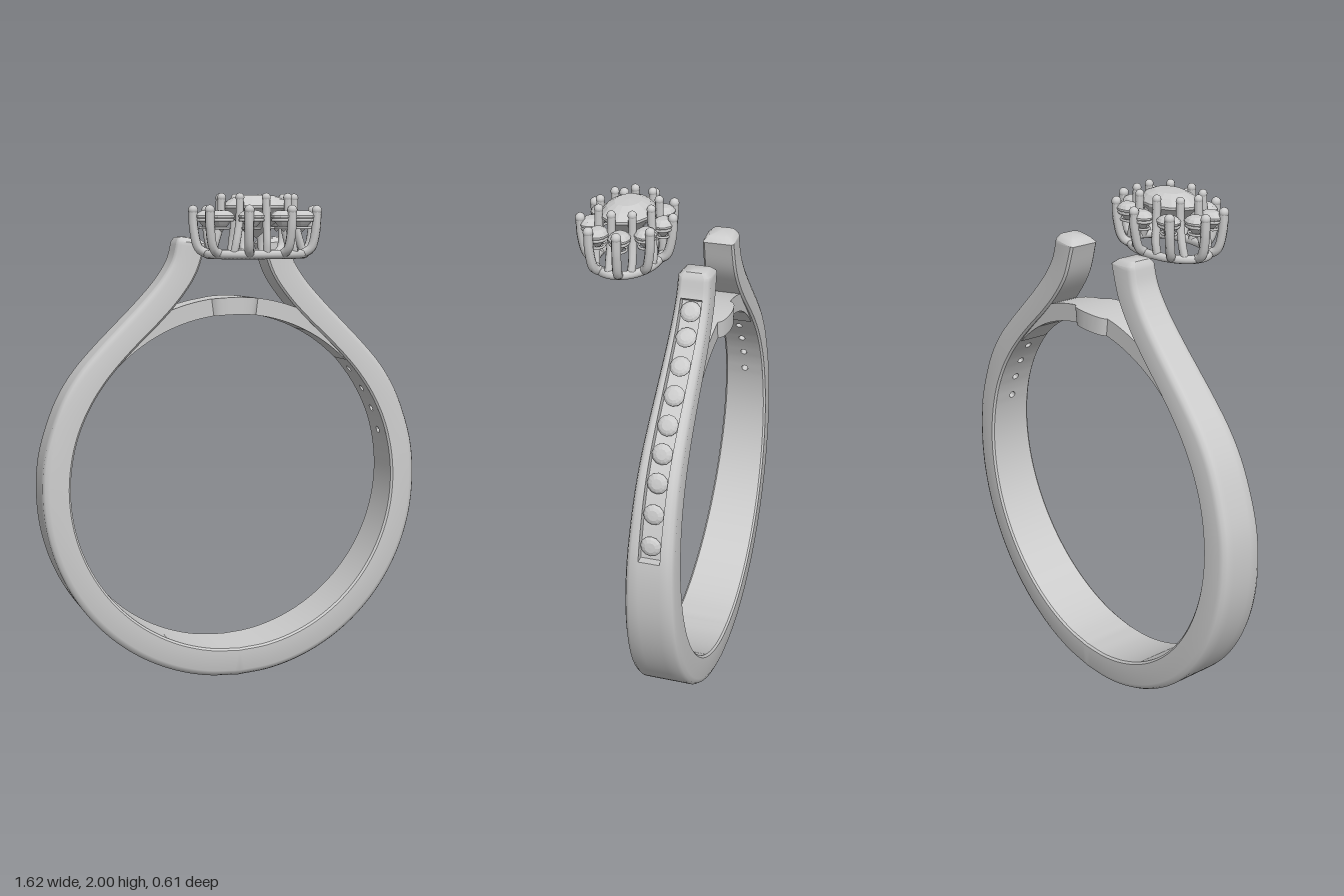
import * as THREE from 'three';
import { toCreasedNormals } from 'three/addons/utils/BufferGeometryUtils.js';

const material = new THREE.MeshStandardMaterial({ color: 0xcccccc });
const facetMaterial = new THREE.MeshStandardMaterial({ color: 0xcccccc, flatShading: true });
const BAND_Z = -0.19, STEPS = 6, CHANNEL = [10, 18];
const halfWidth = y => 0.12 - 0.06 * y / 1.83;

// Outer and inner outline of one half of the band, from the bottom to the shoulder tip
const outerPts = [], innerPts = [];
for (let i = 0; i <= 9; i++) {
  const a = (i * 10 - 90) * Math.PI / 180;
  outerPts.push([0.81 * Math.cos(a), 0.81 + 0.81 * Math.sin(a)]);
  innerPts.push([0.7 * Math.cos(a), 0.82 + 0.7 * Math.sin(a)]);
}
outerPts.push([0.80, 0.95], [0.765, 1.08], [0.715, 1.20], [0.65, 1.30], [0.57, 1.39],
  [0.48, 1.48], [0.39, 1.57], [0.31, 1.66], [0.26, 1.74], [0.24, 1.815]);
innerPts.push([0.689, 0.942], [0.658, 1.06], [0.606, 1.17], [0.545, 1.26], [0.48, 1.335],
  [0.40, 1.415], [0.32, 1.49], [0.235, 1.58], [0.165, 1.68], [0.12, 1.805]);
const spline = pts => new THREE.CatmullRomCurve3(pts.map(p => new THREE.Vector3(p[0], p[1], 0)));
const outer = spline(outerPts), inner = spline(innerPts), LAST = outerPts.length - 1;

function station(i) {
  const o = outer.getPoint(i / LAST), p = inner.getPoint(i / LAST);
  const n = p.clone().sub(o), th = n.length();
  return { o, p, n: n.normalize(), th, w: halfWidth((o.y + p.y) / 2) };
}

// Rounded cross-section, with an optional channel of depth d in the outer face
function section(i, d) {
  const { o, n, th, w } = station(i), c = 0.04;
  return [[0.025, -w], [0.008, 0.007 - w], [0, 0.02 - w], [0, -c], [d, -c], [d, c], [0, c], [0, w - 0.02],
    [0.008, w - 0.007], [0.025, w], [th - 0.008, w], [th, w - 0.008], [th, 0.008 - w], [th - 0.008, -w]]
    .map(([k, z]) => o.clone().addScaledVector(n, k).setZ(z));
}

function buildBand() {
  const pos = [];
  const holes = [62, 67, 72, 78, 83]; // first station of each two-step hole cell
  for (const side of [1, -1]) {
    const tri = (a, b, c) => {
      const area = b.clone().sub(a).cross(c.clone().sub(a)).length();
      if (area < 1e-9) return;
      for (const v of side > 0 ? [a, b, c] : [a, c, b]) pos.push(v.x * side, v.y, v.z);
    };
    const strip = (A, B, skipInner) => A.forEach((a, k) => {
      const m = (k + 1) % A.length;
      if (skipInner && k === 11) return;
      tri(a, B[k], A[m]);
      tri(B[k], B[m], A[m]);
    });
    const depth = (i, j) => side > 0 && Math.min(i, j) >= CHANNEL[0] && Math.max(i, j) <= CHANNEL[1] ? 0.035 : 0;
    for (let s = 0; s < LAST * STEPS; s++) {
      const i = s / STEPS, j = (s + 1) / STEPS, d = depth(i, j);
      strip(section(i, d), section(j, d), holes.includes(s) || holes.includes(s - 1));
    }
    // Channel end walls
    if (side > 0) {
      strip(section(CHANNEL[0], 0), section(CHANNEL[0], 0.035), true);
      strip(section(CHANNEL[1], 0.035), section(CHANNEL[1], 0), true);
    }
    // Bevelled shoulder tip
    const end = section(LAST, 0);
    const mid = end.reduce((m, v) => m.add(v), new THREE.Vector3()).divideScalar(end.length);
    const bevel = end.map(v => v.clone().lerp(mid, 0.28).add(new THREE.Vector3(0, 0.017, 0)));
    strip(end, bevel);
    mid.y += 0.022;
    bevel.forEach((v, k) => tri(v, mid, bevel[(k + 1) % bevel.length]));
    // Drilled holes in the inner wall
    for (const s of holes) {
      const A = station(s / STEPS), B = station((s + 2) / STEPS);
      const at = (q, k) => A.p.clone().lerp(B.p, q.x).addScaledVector(A.n, -k)
        .setZ(q.y * (A.w + (B.w - A.w) * q.x - 0.008));
      const shape = new THREE.Shape([[0, -1], [1, -1], [1, 1], [0, 1]].map(p => new THREE.Vector2(...p)));
      const hole = new THREE.Path();
      hole.absellipse(0.5, 0, 0.015 / A.p.distanceTo(B.p), 0.015 / A.w, 0, Math.PI * 2);
      shape.holes.push(hole);
      const flat = new THREE.ShapeGeometry(shape, 16).toNonIndexed().attributes.position;
      const v = k => at(new THREE.Vector2(flat.getX(k), flat.getY(k)), 0);
      for (let k = 0; k < flat.count; k += 3) tri(v(k), v(k + 2), v(k + 1));
      const ring = hole.getPoints(16);
      for (let k = 0; k < ring.length - 1; k++) {
        const [p, q] = [ring[k], ring[k + 1]];
        tri(at(p, 0), at(p, 0.05), at(q, 0));
        tri(at(p, 0.05), at(q, 0.05), at(q, 0));
      }
    }
  }
  const geo = new THREE.BufferGeometry();
  geo.setAttribute('position', new THREE.Float32BufferAttribute(pos, 3));
  return toCreasedNormals(geo, 0.75);
}

// Bridge under the head, widened to a disc in the middle
function buildBridge() {
  const geo = new THREE.BoxGeometry(2, 1, 2, 120, 1, 1), p = geo.attributes.position;
  for (let i = 0; i < p.count; i++) {
    const a = p.getX(i) * 0.78, r = 0.735 + p.getY(i) * 0.07, x = Math.sin(a) * 0.735;
    const w = 0.06 + 0.032 * Math.sqrt(Math.max(0, 1 - (x / 0.092) ** 2));
    p.setXYZ(i, Math.sin(a) * r, 0.82 + Math.cos(a) * r, p.getZ(i) * w);
  }
  return toCreasedNormals(geo, 0.6);
}

const profile = pts => pts.map(p => new THREE.Vector2(...p));
// Faceted gem of unit radius, girdle at y = 0
const gemGeometry = sides => new THREE.LatheGeometry(
  profile([[0, -1], [0.55, -0.5], [1, -0.04], [1, 0.04], [0.78, 0.24], [0.5, 0.36], [0, 0.38]]), sides);

export function createModel() {
  const model = new THREE.Group();
  const add = (parent, name, geo, mat = material) => {
    const mesh = new THREE.Mesh(geo, mat);
    mesh.name = name;
    parent.add(mesh);
    return mesh;
  };

  const ring = new THREE.Group();
  ring.name = 'ring';
  ring.position.z = BAND_Z;
  model.add(ring);
  add(ring, 'band', buildBand());
  add(ring, 'bridge', buildBridge());

  // Nine stones in the channel of the left shoulder
  const up = new THREE.Vector3(0, 1, 0), smallGem = gemGeometry(12);
  for (let k = 0; k < 9; k++) {
    const { o, n } = station(CHANNEL[0] + (k + 0.5) / 9 * (CHANNEL[1] - CHANNEL[0]));
    const gem = add(ring, 'channelStone', smallGem, facetMaterial);
    gem.position.copy(o).addScaledVector(n, 0.015);
    gem.quaternion.setFromUnitVectors(up, n.clone().negate());
    gem.scale.set(0.039, 0.039, 0.039);
  }

  // Oval head; angle 0 points to the back
  const head = new THREE.Group();
  head.name = 'head';
  head.position.z = 0.125;
  model.add(head);
  const oval = (a, rx, rz, y) => new THREE.Vector3(Math.sin(a) * rx, y, -Math.cos(a) * rz);
  const loop = (rx, rz, y) => new THREE.CatmullRomCurve3(
    Array.from({ length: 24 }, (_, i) => oval(i / 24 * Math.PI * 2, rx, rz, y)), true);
  const prong = (name, points, r) => {
    add(head, name, new THREE.TubeGeometry(new THREE.CatmullRomCurve3(points), 16, r, 8));
    add(head, name + 'Tip', new THREE.SphereGeometry(r * 1.08, 12, 8)).position.copy(points.at(-1));
  };

  add(head, 'baseRail', new THREE.TubeGeometry(loop(0.195, 0.12, 1.768), 64, 0.017, 8, true));
  const centre = add(head, 'centreStone', gemGeometry(16), facetMaterial);
  centre.position.y = 1.948;
  centre.scale.set(0.14, 0.12, 0.1);

  const collar = new THREE.TorusGeometry(1, 0.16, 6, 20).rotateX(Math.PI / 2);
  for (let k = 0; k < 9; k++) {
    const a = k * Math.PI * 2 / 9, b = a + Math.PI / 9;
    const gem = add(head, 'haloStone', smallGem, facetMaterial);
    gem.position.copy(oval(a, 0.19, 0.135, 1.912));
    gem.scale.set(0.053, 0.06, 0.042);
    for (const [y, s] of [[1.898, 0.043], [1.868, 0.033]]) {
      const c = add(head, 'haloCollar', collar);
      c.position.copy(oval(a, 0.19, 0.135, y));
      c.scale.set(s, s, s * 0.8);
    }
    prong('outerProng', [oval(a, 0.19, 0.117, 1.768), oval(a, 0.228, 0.148, 1.79),
      oval(a, 0.247, 0.168, 1.86), oval(a, 0.25, 0.172, 1.935)], 0.018);
    prong('innerProng', [oval(b, 0.192, 0.118, 1.768), oval(b, 0.178, 0.122, 1.81),
      oval(b, 0.155, 0.114, 1.89), oval(b, 0.15, 0.11, 1.982)], 0.016);
  }
  return model;
}
